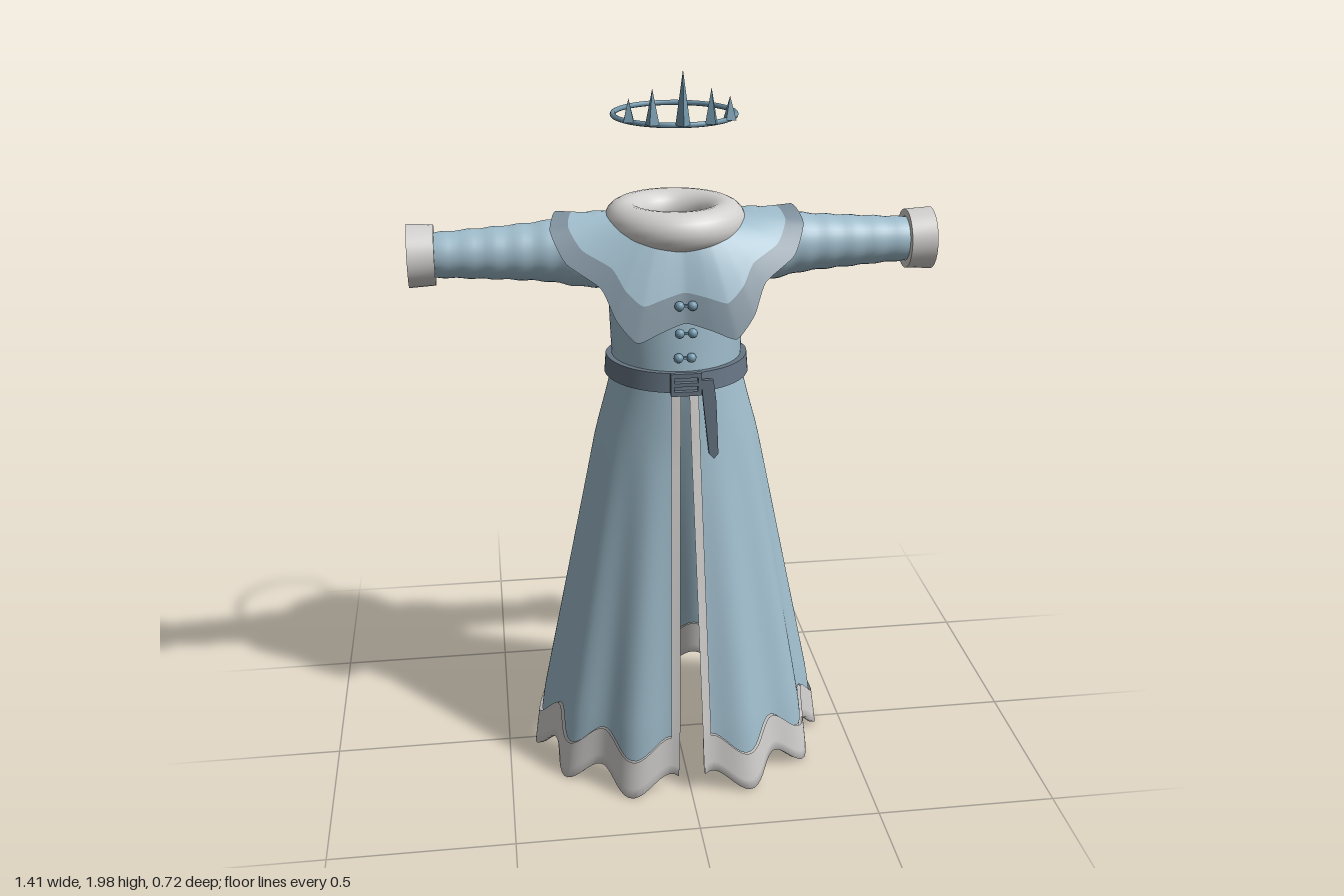
import * as THREE from 'three';
import { mergeVertices, toCreasedNormals } from 'three/addons/utils/BufferGeometryUtils.js';

const material = (name, color) =>
  new THREE.MeshStandardMaterial({ name, color, side: THREE.DoubleSide });
const { lerp, clamp } = THREE.MathUtils;
const RAD = Math.PI / 180;

// Smooth sheet from a rule f(u, v) -> [x, y, z], u and v from 0 to 1
function sheet(f, nu, nv) {
  const pos = [], idx = [];
  for (let j = 0; j <= nv; j++)
    for (let i = 0; i <= nu; i++) pos.push(...f(i / nu, j / nv));
  for (let j = 0; j < nv; j++)
    for (let i = 0; i < nu; i++) {
      const a = j * (nu + 1) + i, b = a + nu + 1;
      idx.push(a, b, a + 1, a + 1, b, b + 1);
    }
  let g = new THREE.BufferGeometry();
  g.setAttribute('position', new THREE.Float32BufferAttribute(pos, 3));
  g.setIndex(idx);
  g = mergeVertices(g, 1e-5);
  g.computeVertexNormals();
  return g;
}

// Robe cross-sections: height, half width, front depth, back depth
const sections = [
  [1.61, 0.12, 0.085, 0.14], [1.56, 0.165, 0.11, 0.135], [1.45, 0.185, 0.15, 0.125],
  [1.2, 0.175, 0.175, 0.13], [1.14, 0.187, 0.183, 0.132], [1.0, 0.225, 0.2, 0.155],
  [0.2, 0.38, 0.335, 0.325], [0, 0.405, 0.355, 0.355],
];
function section(y) {
  let i = 0;
  while (i < sections.length - 2 && y < sections[i + 1][0]) i++;
  const a = sections[i], b = sections[i + 1];
  const t = clamp((a[0] - y) / (a[0] - b[0]), 0, 1);
  return [1, 2, 3].map(k => lerp(a[k], b[k], t));
}

// Folds, strongest at the hem; angle a is 0 at the front
const fold = a => Math.cos((Math.abs(a) / RAD - 24) / 31.2 * 2 * Math.PI);
function robePoint(a, y, off = 0) {
  const [rx, front, back] = section(y);
  const d = off + 0.014 * clamp(1.05 - y, 0, 1) * fold(a);
  const c = Math.cos(a);
  return [(rx + d) * Math.sin(a), y, ((c > 0 ? front : back) + d) * c];
}
const trimTop = a => 0.165 - 0.035 * fold(a);
const hem = a => 0.04 - 0.034 * fold(a);
const slitAngle = (y, extra = 0) =>
  Math.asin((0.012 + 0.027 * (1.2 - y) / 1.2 + extra) / section(y)[0]);
const around = (u, y) => {
  const s = slitAngle(y);
  return lerp(s, 2 * Math.PI - s, u);
};
const wrap = a => (a > Math.PI ? a - 2 * Math.PI : a);

export function createModel() {
  const model = new THREE.Group();
  model.name = 'winterRobe';
  const cloth = material('paleBlueCloth', 0x9fbccb);
  const border = material('slateBorder', 0x7c8e9b);
  const leather = material('darkSlateBelt', 0x677584);
  const fur = material('paleGreyTrim', 0xd2d0ce);
  const metal = material('blueMetal', 0x7398ac);
  const add = (name, geometry, mat, parent = model) => {
    const m = new THREE.Mesh(geometry, mat);
    m.name = name;
    parent.add(m);
    return m;
  };

  // Bodice
  add('bodice', sheet((u, v) => robePoint(wrap(u * 2 * Math.PI), lerp(1.61, 1.18, v)), 64, 16), cloth);

  // Skirt with a front slit, and its zigzag hem band
  add('skirt', sheet((u, v) => {
    const a0 = wrap(around(u, 0.2));
    const y = lerp(1.2, trimTop(a0), v);
    return robePoint(wrap(around(u, y)), y);
  }, 180, 24), cloth);
  add('hemBand', sheet((u, v) => {
    const a = wrap(around(u, 0.1));
    // the band wraps from the outside, under the edge, to the lining
    const outside = v <= 0.5;
    const y = outside ? lerp(trimTop(a), hem(a), v * 2) : lerp(hem(a), trimTop(a), v * 2 - 1);
    return robePoint(wrap(around(u, y)), y, outside ? 0.008 : -0.006);
  }, 180, 9), fur);

  // Trim along both edges of the slit
  for (const s of [-1, 1])
    add(s > 0 ? 'leftSlitTrim' : 'rightSlitTrim', sheet((u, v) => {
      const y = lerp(1.18, 0.1, v);
      return robePoint(s * slitAngle(y, 0.024 * u - 0.002), y, 0.006);
    }, 2, 24), fur);

  // Capelet: hem path from centre front around the left side to centre back
  const half = [
    [0, 1.365, 0.195], [0.07, 1.345, 0.21], [0.13, 1.325, 0.22], [0.18, 1.38, 0.195],
    [0.215, 1.455, 0.155], [0.3, 1.51, 0.105], [0.335, 1.58, 0.04], [0.315, 1.615, -0.035],
    [0.255, 1.55, -0.115], [0.2, 1.45, -0.155], [0.15, 1.34, -0.19], [0.08, 1.365, -0.19],
    [0, 1.33, -0.2],
  ];
  const loop = [...half, ...half.slice(1, -1).reverse().map(([x, y, z]) => [-x, y, z])];
  const capeHem = new THREE.CatmullRomCurve3(
    loop.map(p => new THREE.Vector3(...p)), true, 'catmullrom', 0.3);
  const capePoint = (u, s) => {
    const h = capeHem.getPoint(u % 1);
    const a = Math.atan2(h.x / 0.33, (h.z + 0.02) / 0.22);
    return [
      lerp(0.14 * Math.sin(a), h.x, s),
      lerp(1.605, h.y, Math.pow(s, 1.4)),
      lerp(-0.02 + 0.13 * Math.cos(a), h.z, s),
    ];
  };
  add('capelet', sheet((u, v) => capePoint(u, v * 0.76), 144, 10), cloth);
  add('capeletBorder', sheet((u, v) => capePoint(u, lerp(0.76, 1, v)), 144, 4), border);

  // Rolled collar
  const collar = add('collar', new THREE.TorusGeometry(0.135, 0.054, 20, 56).rotateX(Math.PI / 2), fur);
  collar.position.set(0, 1.583, -0.025);

  // Sleeves with soft wrinkles, and hollow cuffs
  const radii = [[0.13, 0.105], [0.25, 0.098], [0.35, 0.08], [0.5, 0.068], [0.66, 0.058]];
  const sleeveCurve = new THREE.SplineCurve(radii.map(([x, r]) => new THREE.Vector2(r, x)));
  const sleeveProfile = sleeveCurve.getPoints(44);
  sleeveProfile.forEach(p => { p.x += 0.0015 * Math.sin(p.y * 95); });
  const cuffProfile = [[0.06, 0.635], [0.08, 0.635], [0.084, 0.705], [0.064, 0.705], [0.06, 0.635]]
    .map(p => new THREE.Vector2(...p));
  for (const s of [-1, 1]) {
    const arm = new THREE.Group();
    arm.name = s > 0 ? 'leftSleeve' : 'rightSleeve';
    arm.rotation.z = -s * Math.PI / 2;
    arm.position.set(0, 1.507, -0.035);
    add('sleeve', new THREE.LatheGeometry(sleeveProfile, 36), cloth, arm);
    add('cuff', toCreasedNormals(new THREE.LatheGeometry(cuffProfile, 36), 0.7), fur, arm);
    model.add(arm);
  }

  // Belt, buckle and hanging strap
  const ring = [[1.226, 0], [1.226, 0.016], [1.174, 0.016], [1.174, 0], [1.226, 0]];
  add('belt', toCreasedNormals(sheet((u, v) => {
    const [y, off] = ring[Math.round(v * 4)];
    return robePoint(wrap(u * 2 * Math.PI), y, off);
  }, 72, 4), 0.7), leather);
  for (const [x, y, w, h] of [[0, 1.225, 0.08, 0.012], [0, 1.175, 0.08, 0.012],
    [-0.036, 1.2, 0.01, 0.06], [0.036, 1.2, 0.01, 0.06], [0, 1.2, 0.07, 0.01]])
    add('buckle', new THREE.BoxGeometry(w, h, 0.014), leather).position.set(x, y, 0.2);
  const strap = new THREE.Shape([[0.04, 1.21], [0.045, 1.15], [0.062, 1.0], [0.075, 0.985],
    [0.087, 1.0], [0.08, 1.15], [0.072, 1.21]].map(p => new THREE.Vector2(...p)));
  add('hangingStrap', new THREE.ExtrudeGeometry(strap, { depth: 0.012, bevelEnabled: false }), leather)
    .position.z = 0.192;

  // Paired buttons joined by short bars
  for (const [y, z] of [[1.265, 0.178], [1.34, 0.2], [1.412, 0.194]]) {
    for (const s of [-1, 1])
      add('button', new THREE.SphereGeometry(0.013, 14, 10), metal).position.set(s * 0.017, y, z);
    add('buttonBar', new THREE.BoxGeometry(0.03, 0.006, 0.006), metal).position.set(0, y, z);
  }

  // Floating circlet with spikes at the front
  const circlet = new THREE.Group();
  circlet.name = 'circlet';
  circlet.position.set(0, 1.862, -0.035);
  add('band', new THREE.TorusGeometry(0.16, 0.007, 8, 64).rotateX(Math.PI / 2), metal, circlet);
  for (const [deg, h] of [[0, 0.138], [27, 0.09], [-27, 0.09], [52, 0.06], [-52, 0.06]]) {
    const spike = add('spike', new THREE.ConeGeometry(0.019, h, 4).toNonIndexed(), metal, circlet);
    spike.geometry.computeVertexNormals();
    spike.position.set(0.164 * Math.sin(deg * RAD), h / 2, 0.164 * Math.cos(deg * RAD));
    spike.rotation.y = deg * RAD;
  }
  model.add(circlet);
  return model;
}
